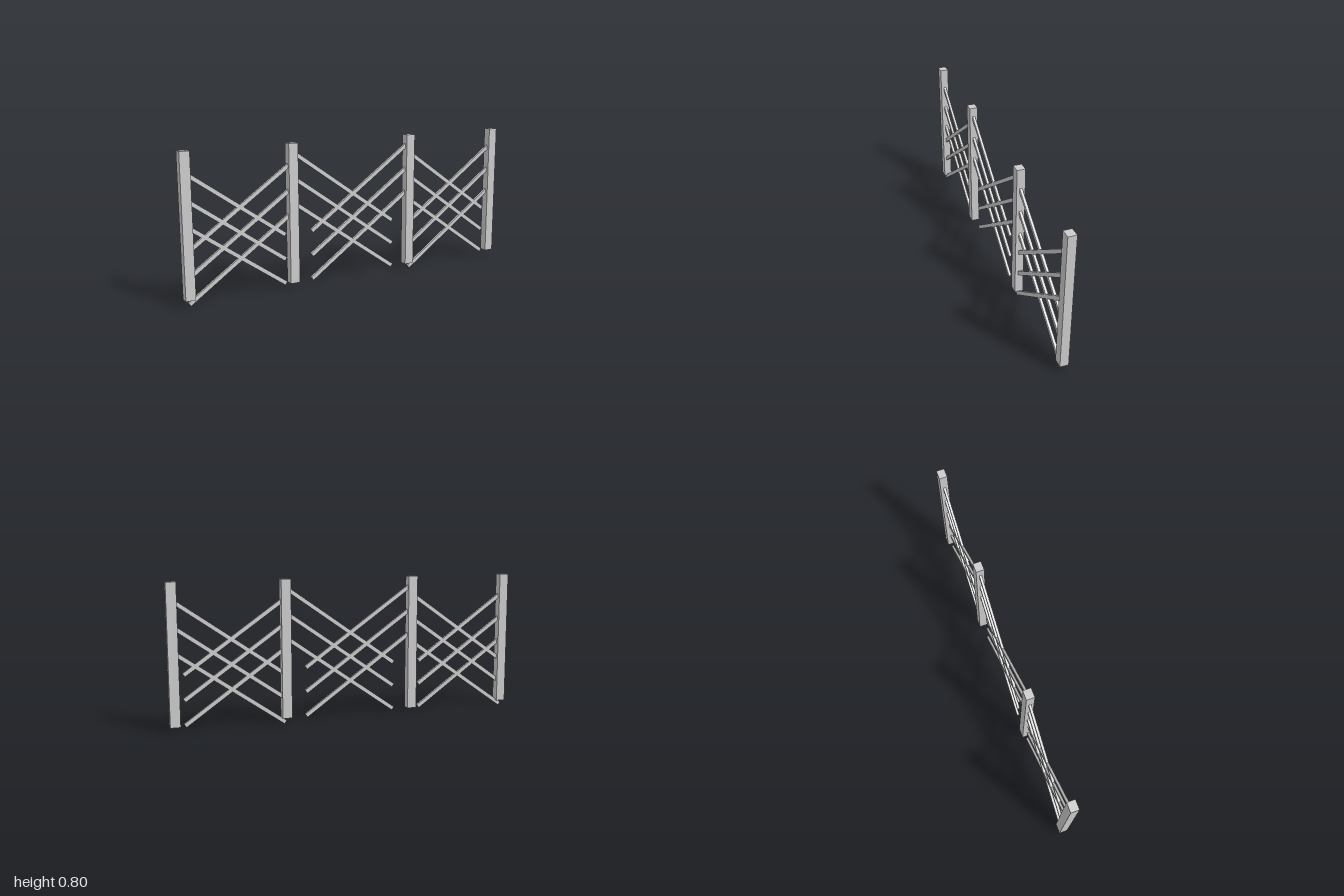
import * as THREE from 'three';

const material = new THREE.MeshStandardMaterial({ color: 0xcccccc, flatShading: true });
const SLOPE = THREE.MathUtils.degToRad(35);
const STEP = 0.136; // vertical spacing between parallel rails

// Square fence post
function post(x) {
  const mesh = new THREE.Mesh(new THREE.BoxGeometry(0.054, 0.765, 0.046), material);
  mesh.position.set(x, 0.4155, 0);
  mesh.name = 'post';
  return mesh;
}

// Three parallel slats rising from a low end (x0, y0) to the post at x1
function slats(name, x0, y0, x1) {
  const group = new THREE.Group();
  group.name = name;
  const run = x1 - x0;
  const rise = Math.abs(run) * Math.tan(SLOPE);
  const geometry = new THREE.BoxGeometry(Math.hypot(run, rise), 0.022, 0.014);
  for (let i = 0; i < 3; i++) {
    const slat = new THREE.Mesh(geometry, material);
    slat.name = 'slat';
    slat.position.set((x0 + x1) / 2, y0 + rise / 2 + i * STEP, 0);
    slat.rotation.z = Math.sign(run) * SLOPE;
    group.add(slat);
  }
  return group;
}

export function createModel() {
  const model = new THREE.Group();
  model.name = 'latticeFence';

  for (const x of [-0.973, -0.383, 0.365, 0.973]) model.add(post(x));

  // Crossing slats of the three bays
  model.add(
    slats('rightBayRisingSlats', -0.975, 0.009, -0.39),
    slats('rightBayFallingSlats', -0.43, 0.035, -0.965),
    slats('middleBayRisingSlats', -0.27, 0.035, 0.36),
    slats('middleBayFallingSlats', 0.252, 0.035, -0.378),
    slats('leftBayRisingSlats', 0.372, 0.009, 0.957),
    slats('leftBayFallingSlats', 0.92, 0.035, 0.375),
  );
  return model;
}
